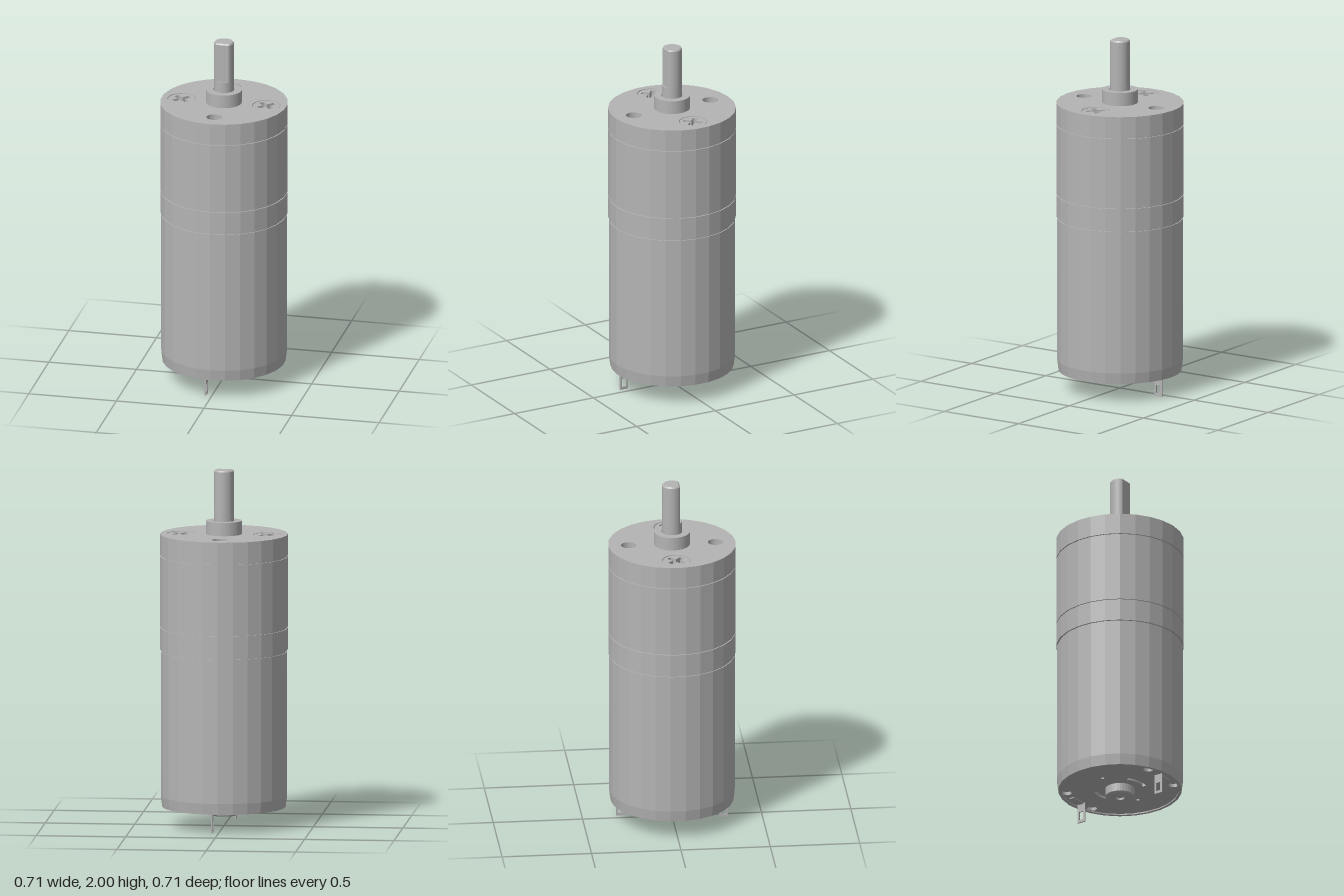
import * as THREE from 'three';

const SIDES = 26;

export function createModel() {
  const group = new THREE.Group();
  group.name = 'gearMotor';
  const steel = new THREE.MeshStandardMaterial({ color: 0xb4b4b4 });
  steel.name = 'steel grey';

  const add = (name, geometry, x = 0, y = 0, z = 0) => {
    const mesh = new THREE.Mesh(geometry, steel);
    mesh.name = name;
    mesh.position.set(x, y, z);
    group.add(mesh);
    return mesh;
  };
  // Turned part with crisp facets; profile runs from bottom to top
  const turned = (profile, sides) => {
    const g = new THREE.LatheGeometry(profile.map(p => new THREE.Vector2(...p)), sides).toNonIndexed();
    g.computeVertexNormals();
    return g;
  };
  // Plate outlined in x and -z, extruded upwards
  const plate = (shape, depth, options = {}) =>
    new THREE.ExtrudeGeometry(shape, { depth, bevelEnabled: false, curveSegments: 16, ...options }).rotateX(-Math.PI / 2);
  const circle = (Type, x, y, r) => new Type().absarc(x, y, r, 0, Math.PI * 2);

  // Motor can and gearbox rings, with the narrow joints between them
  add('motorCanAndGearbox', turned([
    [0.328, 0.125], [0.328, 0.108], [0.344, 0.108], [0.352, 0.17], [0.352, 0.98],
    [0.346, 0.98], [0.346, 0.99], [0.355, 0.99], [0.355, 1.113], [0.348, 1.113],
    [0.348, 1.119], [0.355, 1.119], [0.355, 1.514], [0.348, 1.514], [0.348, 1.52], [0, 1.52],
  ], SIDES));

  // Top cover with two screw seats and two mounting holes
  const cover = new THREE.Shape(Array.from({ length: SIDES }, (_, i) => {
    const a = Math.PI / 2 + (i * Math.PI * 2) / SIDES;
    return new THREE.Vector2(0.356 * Math.cos(a), 0.356 * Math.sin(a));
  }));
  for (const s of [-1, 1]) {
    cover.holes.push(circle(THREE.Path, s * 0.242, 0, 0.078));
    cover.holes.push(circle(THREE.Path, 0, s * 0.243, 0.043));
  }
  add('topCover', plate(cover, 0.12), 0, 1.52);

  // Flush screws with a cross recess turned by 45 degrees
  const cross = new THREE.Path();
  const w = 0.014, l = 0.054;
  const corners = [];
  for (let k = 0; k < 4; k++) {
    for (const [u, v] of [[l, -w], [l, w], [w, w]]) {
      const a = Math.PI / 4 + (k * Math.PI) / 2;
      corners.push(new THREE.Vector2(u * Math.cos(a) - v * Math.sin(a), u * Math.sin(a) + v * Math.cos(a)));
    }
  }
  cross.setFromPoints(corners);
  const head = circle(THREE.Shape, 0, 0, 0.075);
  head.holes.push(cross);
  for (const s of [-1, 1]) {
    add('screwHead', plate(head, 0.04), s * 0.242, 1.598);
    add('screwCore', new THREE.CylinderGeometry(0.075, 0.075, 0.078, 32), s * 0.242, 1.559);
  }

  // Bearing collar and D-shaped output shaft
  add('shaftCollar', turned([[0.1, 1.63], [0.1, 1.715], [0.059, 1.715], [0.059, 1.69], [0.05, 1.69]], 40));
  add('shaftBase', new THREE.CylinderGeometry(0.055, 0.055, 0.17, 40), 0, 1.69);
  const half = Math.acos(0.042 / 0.055);
  const dShape = new THREE.Shape().absarc(0, 0, 0.055, -Math.PI / 2 + half, Math.PI * 1.5 - half);
  add('outputShaft', plate(dShape, 0.24, {
    bevelEnabled: true, bevelSize: 0.006, bevelThickness: 0.008, bevelOffset: -0.006, bevelSegments: 1, curveSegments: 32,
  }), 0, 1.752);

  // End cap with shallow dimples and pin holes
  const cap = circle(THREE.Shape, 0, 0, 0.329);
  for (const sx of [-1, 1]) {
    cap.holes.push(circle(THREE.Path, sx * 0.173, 0, 0.011));
    for (const sz of [-1, 1]) cap.holes.push(circle(THREE.Path, sx * 0.124, sz * 0.275, 0.028));
    // Curved vent slots around the rear bearing
    const a = sx > 0 ? 0.9 : 0.9 + Math.PI;
    cap.holes.push(new THREE.Path().absarc(0, 0, 0.15, a, a + 1, false).absarc(0, 0, 0.13, a + 1, a, true));
  }
  add('endCap', plate(cap, 0.02), 0, 0.115);
  add('endCapFloor', new THREE.CylinderGeometry(0.335, 0.335, 0.01, SIDES), 0, 0.14);

  // Rear bearing with a small centre recess
  add('rearBearing', turned([
    [0, 0.072], [0.025, 0.072], [0.025, 0.06], [0.072, 0.06], [0.082, 0.068], [0.082, 0.12],
  ], 32));

  // Soldering lugs with an eyelet, one on each side
  const lug = new THREE.Shape([[-0.025, 0], [0.025, 0], [0.025, 0.125], [-0.025, 0.125]].map(p => new THREE.Vector2(...p)));
  lug.holes.push(new THREE.Path([[-0.014, 0.016], [-0.014, 0.064], [0.014, 0.064], [0.014, 0.016]].map(p => new THREE.Vector2(...p))));
  for (const s of [-1, 1]) {
    const g = new THREE.ExtrudeGeometry(lug, { depth: 0.008, bevelEnabled: false });
    g.translate(0, 0, -0.004).rotateY(Math.PI / 2);
    add('terminalLug', g, -s * 0.037, 0.003, s * 0.285);
    // Foot of the lug, lying against the end cap
    add('terminalFoot', new THREE.BoxGeometry(0.1, 0.008, 0.03), s * 0.01, 0.113, s * 0.285);
  }
  // Ground the lugs exactly on y = 0
  group.children.filter(m => m.name === 'terminalLug').forEach(m => { m.position.y = 0; });
  return group;
}
